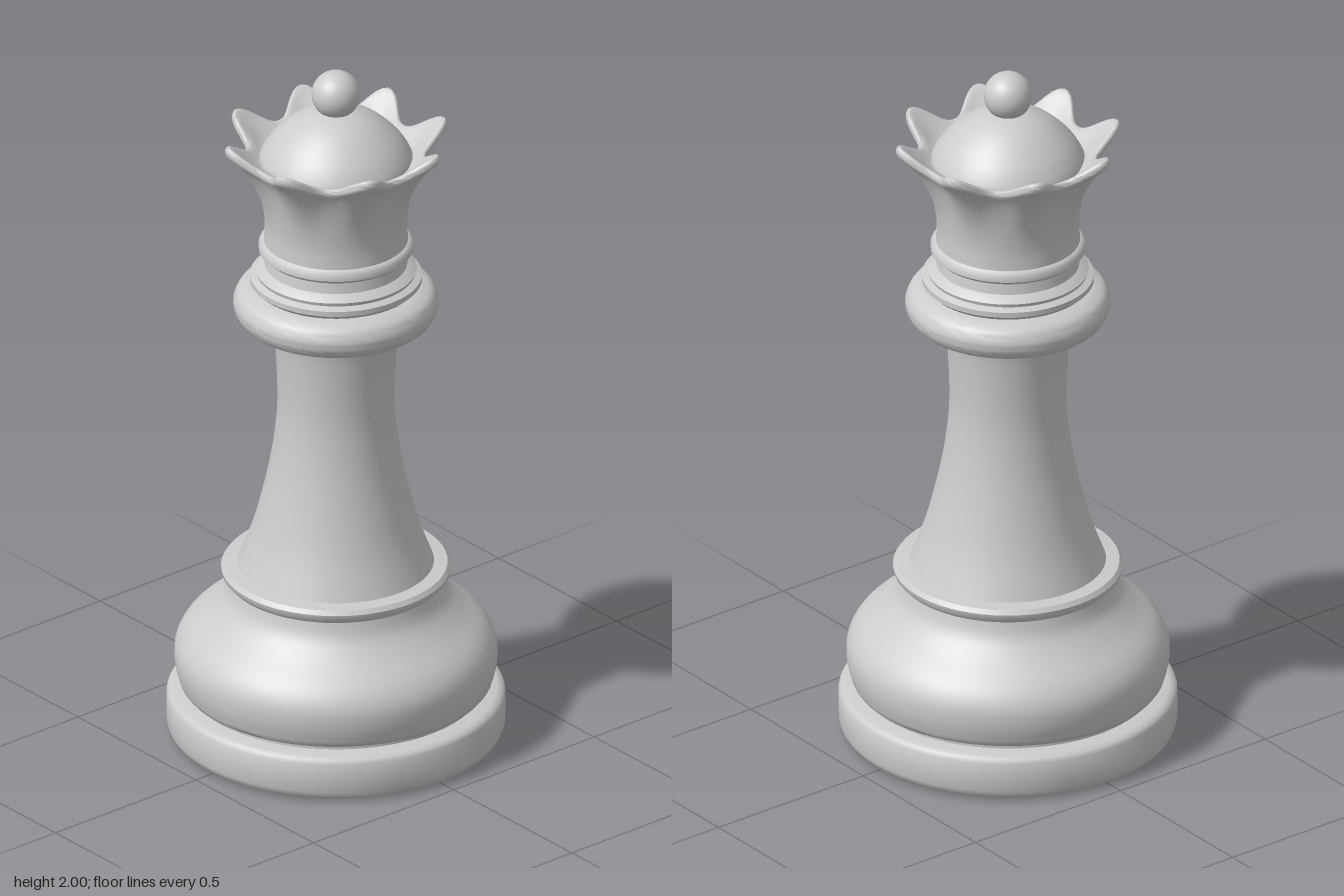
import * as THREE from 'three';
import { toCreasedNormals } from 'three/addons/utils/BufferGeometryUtils.js';

const SIDES = 64;
const material = new THREE.MeshStandardMaterial({ color: 0xcccccc });

// Turned part from [radius, height] pairs, listed bottom to top
function turned(name, profile) {
  const points = profile.map(([r, y]) => new THREE.Vector2(r, y));
  const geometry = toCreasedNormals(new THREE.LatheGeometry(points, SIDES), 0.7);
  const mesh = new THREE.Mesh(geometry, material);
  mesh.name = name;
  return mesh;
}

// Smooth curve through a few profile points
function smooth(profile, count) {
  const curve = new THREE.SplineCurve(profile.map(([r, y]) => new THREE.Vector2(r, y)));
  return curve.getPoints(count).map((p) => [p.x, p.y]);
}

// Crown wall: blends a valley section into a point section eight times round
function crown() {
  const valley = [[0.197, 1.49], [0.195, 1.55], [0.203, 1.62], [0.217, 1.68], [0.232, 1.72],
    [0.247, 1.745], [0.243, 1.76], [0.228, 1.757], [0.21, 1.745], [0.185, 1.73]];
  const point = [[0.197, 1.49], [0.195, 1.55], [0.207, 1.62], [0.236, 1.69], [0.275, 1.75],
    [0.315, 1.793], [0.306, 1.815], [0.27, 1.785], [0.222, 1.745], [0.185, 1.73]];
  const rows = 36, sides = 128;
  const low = smooth(valley, rows), high = smooth(point, rows);
  const geometry = new THREE.LatheGeometry(low.map(([r, y]) => new THREE.Vector2(r, y)), sides);
  const position = geometry.attributes.position;
  for (let i = 0; i < position.count; i++) {
    const row = i % (rows + 1);
    const angle = (Math.floor(i / (rows + 1)) / sides) * Math.PI * 2;
    const t = Math.pow(0.5 - 0.5 * Math.cos(8 * angle), 1.3);
    const r = THREE.MathUtils.lerp(low[row][0], high[row][0], t);
    const y = THREE.MathUtils.lerp(low[row][1], high[row][1], t);
    position.setXYZ(i, r * Math.sin(angle), y, r * Math.cos(angle));
  }
  const mesh = new THREE.Mesh(toCreasedNormals(geometry, 0.8), material);
  mesh.name = 'crown';
  return mesh;
}

export function createModel() {
  const model = new THREE.Group();
  model.name = 'chessQueen';

  model.add(
    // Flat foot with a narrow groove above it
    turned('foot', [[0, 0], [0.435, 0], [0.455, 0.012], [0.462, 0.03], [0.462, 0.115],
      [0.455, 0.126], [0.44, 0.131], [0.405, 0.135], [0.405, 0.15]]),
    // Bulging base
    turned('base', [[0.4, 0.145], [0.42, 0.15],
      ...smooth([[0.428, 0.16], [0.44, 0.21], [0.438, 0.265], [0.41, 0.315], [0.35, 0.37],
        [0.307, 0.42], [0.29, 0.475]], 24)]),
    // Thin ring under the stem
    turned('baseRing', [[0.28, 0.465], [0.3, 0.468], [0.312, 0.482], [0.314, 0.496],
      [0.305, 0.508], [0.265, 0.512]]),
    // Waisted stem
    turned('stem', smooth([[0.272, 0.5], [0.225, 0.63], [0.186, 0.79], [0.166, 0.92],
      [0.16, 1.03], [0.168, 1.185], [0.182, 1.26]], 28)),
    // Rounded collar
    turned('collar', [[0.165, 1.245],
      ...smooth([[0.23, 1.243], [0.265, 1.262], [0.281, 1.3], [0.267, 1.338], [0.235, 1.355]], 16),
      [0.18, 1.36]]),
    // Stepped rings and neck
    turned('neckRings', [[0.2, 1.35], [0.222, 1.358], [0.235, 1.37], [0.235, 1.385], [0.217, 1.393],
      [0.22, 1.403], [0.207, 1.413], [0.195, 1.42], [0.19, 1.45], [0.2, 1.455], [0.211, 1.465],
      [0.211, 1.482], [0.203, 1.492], [0.19, 1.496]]),
    crown(),
    // Dome inside the crown
    turned('dome', smooth([[0.212, 1.73], [0.205, 1.755], [0.175, 1.8], [0.12, 1.85],
      [0.06, 1.88], [0, 1.89]], 20)),
  );

  // Ball on top
  const ball = new THREE.Mesh(new THREE.SphereGeometry(0.067, 32, 20), material);
  ball.name = 'ball';
  ball.position.y = 1.933;
  model.add(ball);

  return model;
}
